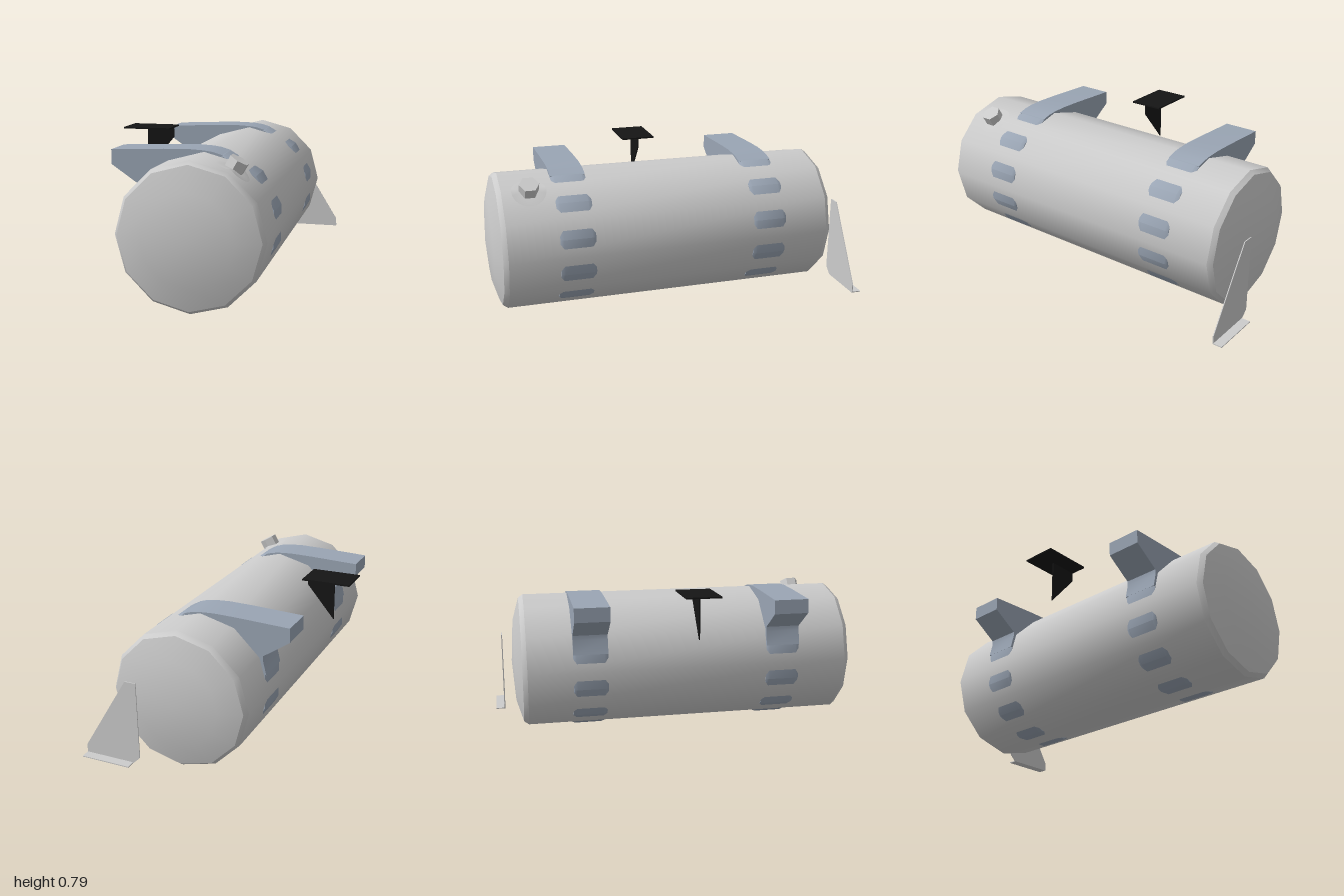
import * as THREE from 'three';
import { toCreasedNormals } from 'three/addons/utils/BufferGeometryUtils.js';

const grey = new THREE.MeshStandardMaterial({ color: 0xcccccc });
const sheet = new THREE.MeshStandardMaterial({ color: 0xcccccc, side: THREE.DoubleSide });
const strapBlue = new THREE.MeshStandardMaterial({ color: 0x9aa5b4 });
const black = new THREE.MeshStandardMaterial({ color: 0x151515 });

const R = 0.37, CX = 0.056, CY = 0.379, SIDES = 12;

function part(parent, name, geometry, material, x = 0, y = 0, z = 0) {
  const mesh = new THREE.Mesh(geometry, material);
  mesh.name = name;
  mesh.position.set(x, y, z);
  parent.add(mesh);
  return mesh;
}

// Twelve-sided solid turned about the z axis from [radius, z] pairs
function turned(profile, phiStart = 0) {
  const points = profile.map(([r, z]) => new THREE.Vector2(r, z));
  const g = new THREE.LatheGeometry(points, SIDES, phiStart).rotateX(Math.PI / 2);
  return toCreasedNormals(g, 0.6);
}

// Flat outline in x, y extruded along z, centred on z = 0
function slab(outline, depth) {
  const shape = new THREE.Shape(outline.map(([x, y]) => new THREE.Vector2(x, y)));
  const g = new THREE.ExtrudeGeometry(shape, { depth, bevelEnabled: false });
  return toCreasedNormals(g.translate(0, 0, -depth / 2), 0.5);
}

export function createModel() {
  const model = new THREE.Group();
  model.name = 'strappedTank';

  // Tank assembly, sloping very slightly down to the back
  const tank = new THREE.Group();
  tank.name = 'tankAssembly';
  tank.position.set(CX, CY, 0);
  tank.rotation.x = -0.0055;
  model.add(tank);

  // Shell with chamfered rims and shallow domed ends
  part(tank, 'tankShell', turned([
    [0, -0.9], [0.23, -0.885], [0.352, -0.85], [R, -0.825],
    [R, 0.92], [0.352, 0.945], [0.23, 0.98], [0, 1.0],
  ]), grey);

  // Straps: bands turned half a side, showing through the flats, with a hanger arm
  const w = 0.0925;
  const armOutline = [
    [-0.425, 0.67], [-0.285, 0.575], [-0.284, 0.55], [-0.302, 0.474], [-0.2, 0.474],
    [0.06, 0.68], [0.151, 0.735], [0.10, 0.75], [0.055, 0.756], [-0.02, 0.76], [-0.15, 0.757], [-0.425, 0.745],
  ].map(([x, y]) => [x - CX, y - CY]);
  for (const z of [0.5625, -0.4925]) {
    const strap = new THREE.Group();
    strap.name = z > 0 ? 'frontStrap' : 'rearStrap';
    strap.position.z = z;
    tank.add(strap);
    part(strap, 'band', turned(
      [[0.33, -w], [0.363, -w], [R, -w + 0.018], [R, w - 0.018], [0.363, w], [0.33, w]],
      Math.PI / SIDES), strapBlue);
    part(strap, 'hangerArm', slab(armOutline, 2 * w), strapBlue);
  }

  // Filler: hexagonal cap on a thin round patch folded over the shell ridge
  const filler = new THREE.Group();
  filler.name = 'filler';
  filler.rotation.z = -Math.PI / 6;
  filler.position.z = 0.78;
  tank.add(filler);
  const patch = new THREE.CircleGeometry(0.09, 24).rotateX(-Math.PI / 2);
  const pos = patch.attributes.position;
  for (let i = 0; i < pos.count; i++) {
    pos.setY(i, R + 0.0015 - Math.abs(pos.getX(i)) * Math.tan(Math.PI / SIDES));
  }
  patch.computeVertexNormals();
  part(filler, 'fillerPatch', patch, sheet);
  const cap = new THREE.CylinderGeometry(0.052, 0.052, 0.06, 6);
  part(filler, 'fillerCap', toCreasedNormals(cap, 0.5), grey, 0, 0.385, 0);

  // Rear bracket: tapering upright plate with a turned-out foot
  const rear = new THREE.Group();
  rear.name = 'rearBracket';
  model.add(rear);
  part(rear, 'uprightPlate', slab([
    [0.23, 0.07], [0.27, 0.032], [0.54, 0.032], [0.54, 0.08], [0.29, 0.485], [0.23, 0.485],
  ], 0.005), grey, 0, 0, -0.95);
  part(rear, 'foot', new THREE.BoxGeometry(0.27, 0.005, 0.052), grey, 0.405, 0.0345, -0.974);

  // Side bracket: flat top plate on a triangular gusset
  const side = new THREE.Group();
  side.name = 'sideBracket';
  model.add(side);
  part(side, 'topPlate', new THREE.BoxGeometry(0.265, 0.008, 0.187), black, -0.41, 0.793, 0.058);
  part(side, 'gusset', slab([
    [-0.432, 0.555], [-0.278, 0.738], [-0.278, 0.79], [-0.432, 0.79],
  ], 0.007), black, 0, 0, 0.06);

  return model;
}
